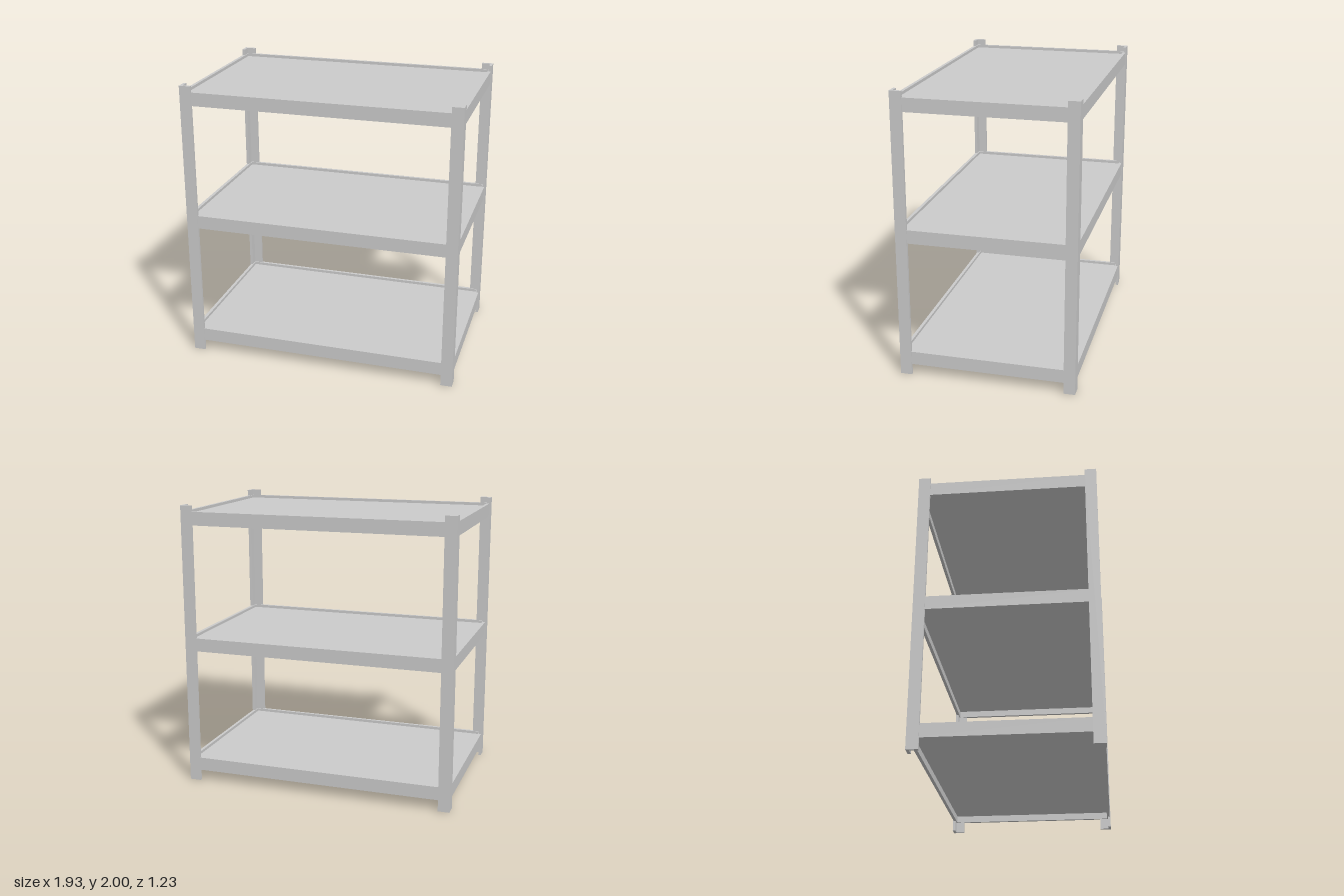
import * as THREE from 'three';

const material = new THREE.MeshStandardMaterial({ color: 0xcccccc, flatShading: true });
const X = 0.965, Z = 0.615, HEIGHT = 2; // outer half sizes and height
const ARM = 0.08, WALL = 0.02; // angle-section posts
const RAIL_X = 0.96, RAIL_Z = 0.61, RAIL_H = 0.094, RAIL_T = 0.022;

function box(name, w, h, d, x, y, z) {
  const mesh = new THREE.Mesh(new THREE.BoxGeometry(w, h, d), material);
  mesh.name = name;
  mesh.position.set(x, y, z);
  return mesh;
}

// L-section corner post, open towards the middle of the unit
function post(name, sx, sz) {
  const points = [[X, Z], [X - ARM, Z], [X - ARM, Z - WALL], [X - WALL, Z - WALL], [X - WALL, Z - ARM], [X, Z - ARM]];
  const shape = new THREE.Shape(points.map(([x, z]) => new THREE.Vector2(x * sx, -z * sz)));
  const geometry = new THREE.ExtrudeGeometry(shape, { depth: HEIGHT, bevelEnabled: false });
  geometry.rotateX(-Math.PI / 2);
  const mesh = new THREE.Mesh(geometry, material);
  mesh.name = name;
  return mesh;
}

// Four rails around a recessed panel
function shelf(name, y) {
  const group = new THREE.Group();
  group.name = name;
  group.position.y = y;
  const innerX = RAIL_X - RAIL_T, innerZ = RAIL_Z - RAIL_T;
  for (const s of [1, -1]) {
    group.add(box(s > 0 ? 'frontRail' : 'backRail', RAIL_X * 2, RAIL_H, RAIL_T, 0, RAIL_H / 2, s * (RAIL_Z - RAIL_T / 2)));
    group.add(box(s > 0 ? 'leftRail' : 'rightRail', RAIL_T, RAIL_H, innerZ * 2, s * (RAIL_X - RAIL_T / 2), RAIL_H / 2, 0));
  }
  group.add(box('panel', innerX * 2, 0.026, innerZ * 2, 0, 0.061, 0));
  return group;
}

export function createModel() {
  const model = new THREE.Group();
  model.name = 'shelvingUnit';
  for (const sx of [1, -1]) {
    for (const sz of [1, -1]) {
      model.add(post((sz > 0 ? 'front' : 'back') + (sx > 0 ? 'Left' : 'Right') + 'Post', sx, sz));
    }
  }
  model.add(shelf('bottomShelf', 0.078), shelf('middleShelf', 0.971), shelf('topShelf', 1.864));
  return model;
}
